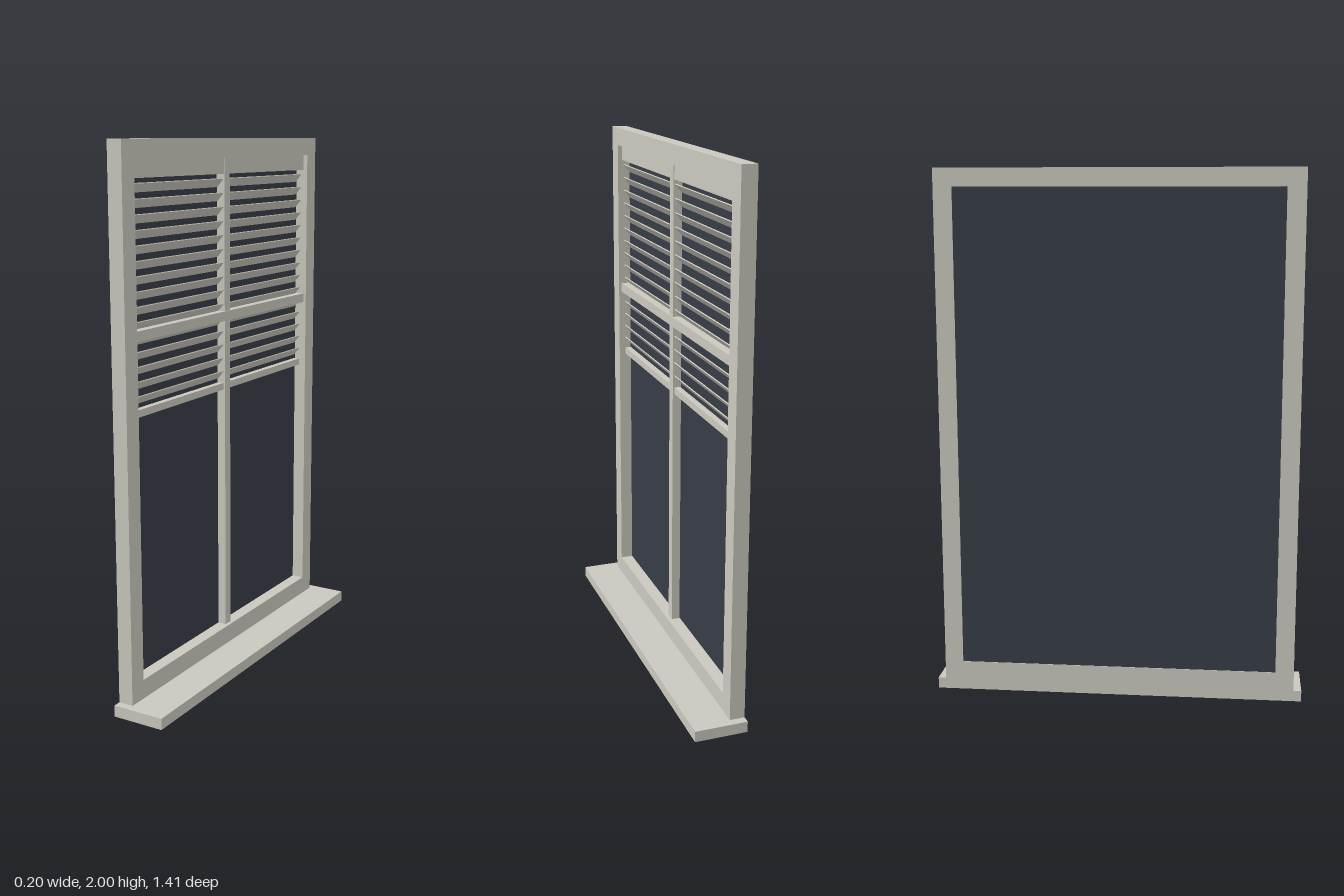
import * as THREE from 'three';

// Sash window with a half-lowered blind; its outer face looks toward +x.
export function createModel() {
  const group = new THREE.Group();
  group.name = 'window';

  const paint = new THREE.MeshStandardMaterial({ color: 0xcac8bd });
  paint.name = 'warm white paint';
  const glass = new THREE.MeshStandardMaterial({ color: 0x373d46 });
  glass.name = 'dark glass';

  // Box given by its limits on each axis
  function bar(name, [x0, x1], [y0, y1], [z0, z1], material = paint) {
    const mesh = new THREE.Mesh(new THREE.BoxGeometry(x1 - x0, y1 - y0, z1 - z0), material);
    mesh.position.set((x0 + x1) / 2, (y0 + y1) / 2, (z0 + z1) / 2);
    mesh.name = name;
    group.add(mesh);
    return mesh;
  }

  // Sill and outer frame
  const depth = [-0.1, -0.043];
  bar('sill', [-0.1, 0.1], [0, 0.042], [-0.706, 0.706]);
  bar('bottomRail', depth, [0.042, 0.113], [-0.676, 0.676]);
  bar('topRail', depth, [1.932, 2], [-0.676, 0.676]);
  bar('leftStile', depth, [0.113, 1.932], [-0.676, -0.606]);
  bar('rightStile', depth, [0.113, 1.932], [0.606, 0.676]);

  // Glass pane
  bar('glassPane', [-0.098, -0.092], [0.113, 1.932], [-0.606, 0.606], glass);

  // Glazing bars
  bar('mullion', [-0.091, -0.058], [0.113, 1.932], [-0.019, 0.019]);
  bar('transom', [-0.091, -0.054], [1.329, 1.365], [-0.606, 0.606]);

  // Blind: head box, tilted slats with the front edge raised, and bottom bar
  bar('blindHeadBox', [-0.091, -0.06], [1.872, 1.932], [-0.606, 0.606]);
  const pitch = 0.0513;
  for (let i = 0; i < 15; i++) {
    const y = 1.84 - i * pitch;
    const slat = bar('blindSlat', [-0.096, -0.056], [y - 0.002, y + 0.002], [-0.592, 0.592]);
    slat.position.x = -0.077;
    slat.rotation.z = 0.86;
  }
  bar('blindBottomBar', [-0.088, -0.064], [1.064, 1.09], [-0.592, 0.592]);

  return group;
}
